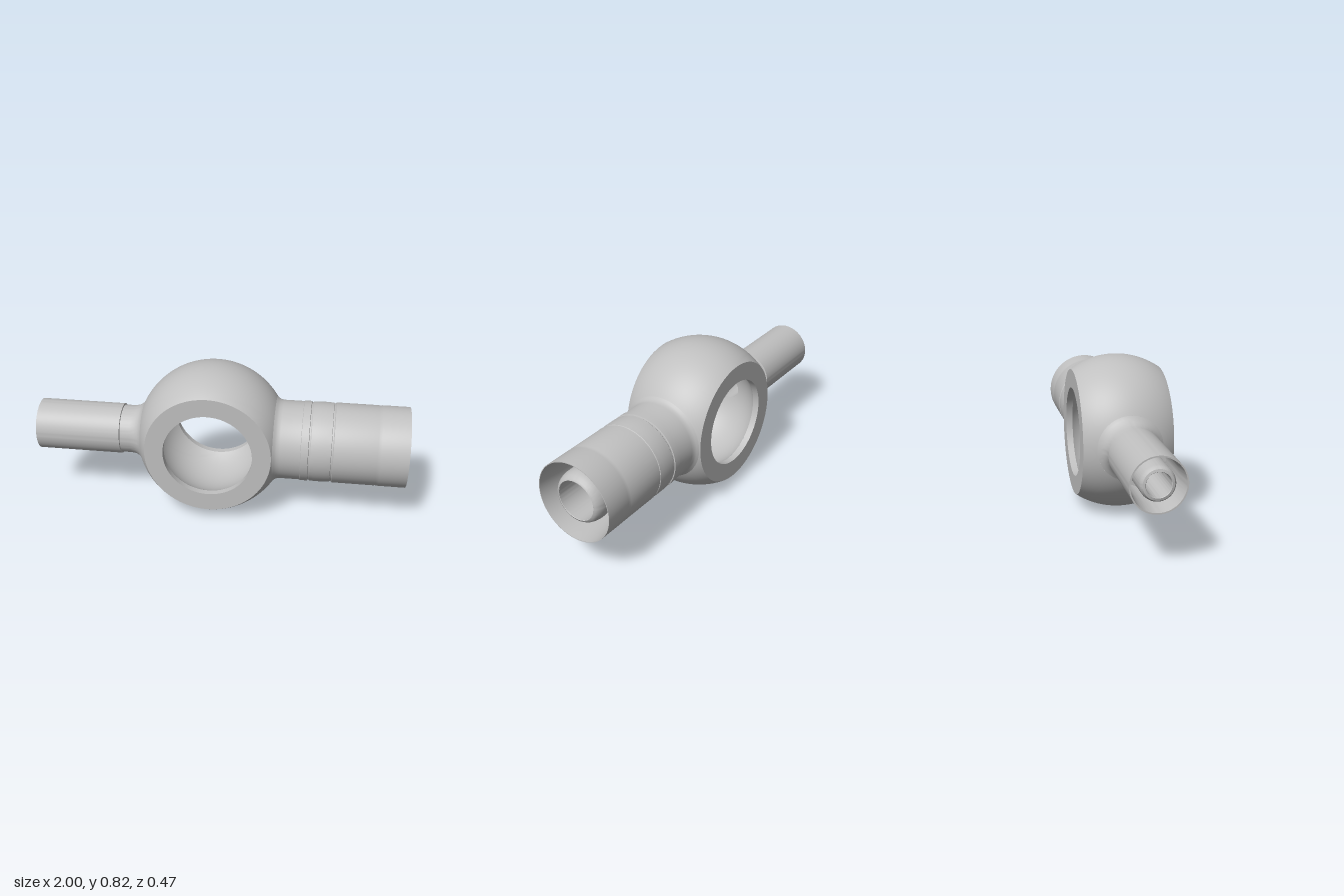
import * as THREE from 'three';
import { mergeVertices, toCreasedNormals } from 'three/addons/utils/BufferGeometryUtils.js';

const CENTRE = [-0.045, 0.413, 0];
const OUTER = 0.41, INNER = 0.31;         // radii of the ball and its hollow
const FACE = 0.235, LIP = 0.2;            // half widths of the ball and its hollow
const BORE = Math.sqrt(INNER ** 2 - LIP ** 2);
const RIM = Math.sqrt(OUTER ** 2 - FACE ** 2);
const onSphere = (R, r) => Math.sqrt(R * R - r * r);

// Band of a sphere around the z axis, with a round opening on +x and on -x
function piercedBand(R, half, rightHole, leftHole, inward) {
  const N = 128, M = 28, pos = [], idx = [];
  for (const [side, hole] of [[1, rightHole], [-1, leftHole]]) {
    const base = pos.length / 3;
    for (let i = 0; i <= M; i++) {
      for (let j = 0; j < N; j++) {
        const phi = (j / N) * Math.PI * 2, c = Math.cos(phi), s = Math.sin(phi);
        const m = Math.max(Math.abs(c), Math.abs(s));
        const z0 = hole * c, t0 = Math.asin((hole * s) / onSphere(R, z0));
        const z = THREE.MathUtils.lerp(z0, (half * c) / m, i / M);
        const t = THREE.MathUtils.lerp(t0, (Math.PI / 2 * s) / m, i / M);
        const r = onSphere(R, z);
        pos.push(side * r * Math.cos(t), r * Math.sin(t), z);
        if (i < M) {
          const a = base + i * N + j, b = base + i * N + (j + 1) % N;
          const quad = [a, b, a + N, b, b + N, a + N];
          if ((side < 0) !== inward) quad.reverse();
          idx.push(...quad);
        }
      }
    }
  }
  const g = new THREE.BufferGeometry();
  g.setAttribute('position', new THREE.Float32BufferAttribute(pos, 3));
  g.setIndex(idx);
  const merged = mergeVertices(g, 1e-5);
  merged.computeVertexNormals();
  return merged;
}

// Turned part from [radius, distance along axis] points
function turned(points) {
  const g = new THREE.LatheGeometry(points.map(p => new THREE.Vector2(...p)), 96);
  return toCreasedNormals(g, 0.55);
}

export function createModel() {
  const group = new THREE.Group();
  const steel = new THREE.MeshStandardMaterial({ color: 0xc0c0c0 });
  steel.name = 'steel';

  const body = new THREE.Group();
  body.position.set(...CENTRE);
  group.add(body);
  const add = (name, geometry, rx = 0, rz = 0) => {
    const mesh = new THREE.Mesh(geometry, steel);
    mesh.name = name;
    mesh.rotation.set(rx, 0, rz);
    body.add(mesh);
  };

  // Ball and its hollow
  add('ringBody', piercedBand(OUTER, FACE, 0.23, 0.17, false));
  add('ringHollow', piercedBand(INNER, LIP, 0.105, 0.06, true));

  // Flat sealing faces with the bore lips
  const face = turned([[RIM, FACE], [BORE, FACE], [BORE, LIP]]);
  add('frontFace', face, Math.PI / 2);
  add('backFace', face, -Math.PI / 2);

  // Wide hose end: fillet, collar, sleeve, open recess, barbed nipple and bore
  add('wideHoseEnd', turned([
    [0.23, onSphere(OUTER, 0.23)], [0.221, 0.35], [0.215, 0.361], [0.212, 0.378],
    [0.212, 0.485], [0.215, 0.487], [0.215, 0.525], [0.21, 0.527], [0.21, 0.533],
    [0.213, 0.537], [0.215, 0.56], [0.215, 0.615], [0.213, 0.643], [0.21, 0.645], [0.21, 0.652],
    [0.215, 0.656], [0.215, 0.88], [0.2135, 0.886], [0.2155, 0.9], [0.2155, 1.045],
    [0.212, 1.045], [0.197, 0.9], [0.197, 0.7],
    [0.125, 0.7], [0.125, 0.93], [0.137, 0.937], [0.137, 0.965], [0.134, 0.987],
    [0.127, 1.008], [0.117, 1.022], [0.107, 1.027], [0.105, 1.025],
    [0.105, onSphere(INNER, 0.105)],
  ]), 0, -Math.PI / 2);

  // Narrow hose end: fillet, neck, sleeve, open recess, nipple and bore
  add('narrowHoseEnd', turned([
    [0.17, onSphere(OUTER, 0.17)], [0.155, 0.383], [0.143, 0.396], [0.134, 0.415], [0.13, 0.44],
    [0.13, 0.493], [0.137, 0.495], [0.137, 0.955],
    [0.13, 0.955], [0.122, 0.85], [0.122, 0.6],
    [0.085, 0.6], [0.085, 0.92], [0.082, 0.938], [0.074, 0.95], [0.062, 0.953], [0.06, 0.95],
    [0.06, onSphere(INNER, 0.06)],
  ]), 0, Math.PI / 2);

  return group;
}
